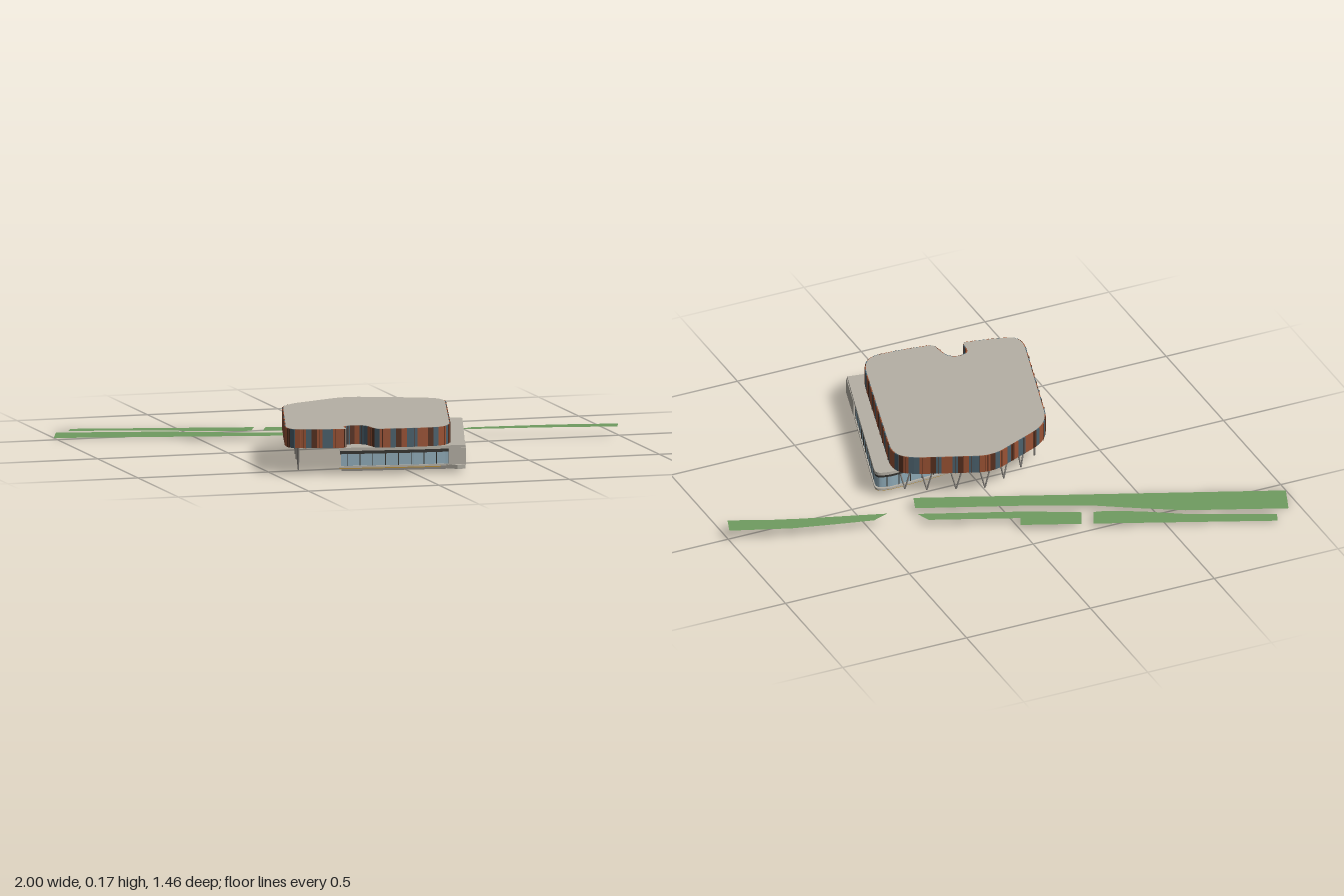
import * as THREE from 'three';
import { mergeGeometries } from 'three/addons/utils/BufferGeometryUtils.js';

const mat = (name, color, side = THREE.FrontSide) =>
  new THREE.MeshStandardMaterial({ name, color, side });

const M = {
  concrete: mat('pale concrete', 0xb5b0a5),
  rust: mat('rust panel', 0x9a5234),
  brown: mat('dark brown panel', 0x57301f),
  slate: mat('slate blue panel', 0x4b616d),
  glass: mat('window glass', 0x8fabb8),
  frame: mat('dark frame', 0x34332f),
  grass: mat('grass', 0x6f9c60, THREE.DoubleSide),
  floor: mat('ochre floor', 0xb58c36),
  soffit: mat('brown soffit', 0x9c7c62),
  steel: mat('grey steel', 0x8a8680),
};

function mesh(name, geometry, material) {
  const m = new THREE.Mesh(geometry, material);
  m.name = name;
  return m;
}

// Closed plan outline from [x, z, cornerRadius] points
function outline(points) {
  const shape = new THREE.Shape();
  const n = points.length;
  const toward = (a, b, d) => {
    const len = Math.hypot(b[0] - a[0], b[1] - a[1]);
    const t = Math.min(d / len, 0.5);
    return [a[0] + (b[0] - a[0]) * t, a[1] + (b[1] - a[1]) * t];
  };
  points.forEach((p, i) => {
    const r = p[2] || 0;
    const a = toward(p, points[(i + n - 1) % n], r);
    const b = toward(p, points[(i + 1) % n], r);
    if (i === 0) shape.moveTo(...a);
    else shape.lineTo(...a);
    if (r) shape.quadraticCurveTo(p[0], p[1], ...b);
  });
  shape.closePath();
  return shape;
}

// Horizontal slab with the given plan between two heights
function slab(shape, y0, y1) {
  return new THREE.ExtrudeGeometry(shape, { depth: y1 - y0, bevelEnabled: false, curveSegments: 8 })
    .rotateX(Math.PI / 2).translate(0, y1, 0);
}

// Upright box standing on the plan line from a to b
function uprightBox(a, b, y0, y1, thickness, width) {
  const dx = b.x - a.x, dz = b.y - a.y;
  return new THREE.BoxGeometry(width ?? Math.hypot(dx, dz), y1 - y0, thickness)
    .rotateY(-Math.atan2(dz, dx))
    .translate((a.x + b.x) / 2, (y0 + y1) / 2, (a.y + b.y) / 2);
}

function rod(a, b, r) {
  const dir = b.clone().sub(a);
  const g = new THREE.CylinderGeometry(r, r, dir.length(), 6);
  g.applyQuaternion(new THREE.Quaternion().setFromUnitVectors(
    new THREE.Vector3(0, 1, 0), dir.clone().normalize()));
  return g.translate((a.x + b.x) / 2, (a.y + b.y) / 2, (a.z + b.z) / 2);
}

// Upper storey with a ring of coloured vertical panels
function upperStorey() {
  const g = new THREE.Group();
  g.name = 'upperStorey';
  const plan = outline([
    [-0.01, -0.122, 0.06], [0.295, 0, 0.08], [0.31, 0.07, 0.03],
    [0.135, 0.70, 0.1], [0.0, 0.697, 0.05], [-0.14, 0.678, 0.015],
    [-0.155, 0.567, 0.05], [-0.24, 0.567, 0.05], [-0.245, 0.648, 0.015],
    [-0.37, 0.622, 0.04], [-0.46, 0.592, 0.085], [-0.29, 0.0, 0.085],
  ]);
  g.add(mesh('roof', slab(plan, 0.104, 0.17), M.concrete));
  g.add(mesh('soffit', slab(plan, 0.1, 0.104), M.soffit));

  const pattern = ['rust', 'slate', 'brown', 'rust', 'rust', 'slate', 'slate', 'rust', 'brown', 'slate', 'rust'];
  const sets = { rust: [], slate: [], brown: [] };
  const pts = plan.getSpacedPoints(132);
  for (let i = 0; i < pts.length - 1; i++) {
    if (pts[i].distanceTo(pts[i + 1]) < 1e-4) continue;
    sets[pattern[i % pattern.length]].push(uprightBox(pts[i], pts[i + 1], 0.1, 0.169, 0.007));
  }
  for (const key in sets) g.add(mesh(key + 'Panels', mergeGeometries(sets[key]), M[key]));

  // Thin fins at some panel joints
  const fins = pts.slice(0, -1).filter((p, i) => i % 3 === 0)
    .map((p) => uprightBox(p, pts[(pts.indexOf(p) + 1) % pts.length], 0.1, 0.169, 0.011, 0.002));
  g.add(mesh('facadeFins', mergeGeometries(fins), M.brown));
  return g;
}

// Glazed lower storey, tapering towards the back
function lowerStorey() {
  const g = new THREE.Group();
  g.name = 'lowerStorey';
  const corners = [
    [0.33, 0.033, 0.01], [0.385, 0.045, 0.03], [0.19, 0.712], [0.12, 0.70],
    [0, 0.69], [-0.275, 0.648], [-0.2, 0.55], [0.05, 0.12], [0.1, 0.045, 0.02],
  ];
  const cx = 0.1, cz = 0.4;
  const scaled = (s) => outline(corners.map(([x, z, r]) => [cx + (x - cx) * s, cz + (z - cz) * s, r]));
  const full = scaled(1), wall = scaled(0.975);
  g.add(mesh('terraceRoof', slab(full, 0.088, 0.1), M.concrete));
  g.add(mesh('fascia', slab(scaled(0.985), 0.076, 0.088), M.frame));
  g.add(mesh('windowWall', slab(wall, 0.032, 0.076), M.glass));
  g.add(mesh('floorEdge', slab(full, 0.025, 0.032), M.concrete));
  g.add(mesh('floorUnderside', slab(scaled(0.99), 0.021, 0.025), M.floor));

  const pts = wall.getSpacedPoints(44);
  const bars = [];
  for (let i = 0; i < pts.length - 1; i++) {
    if (pts[i].distanceTo(pts[i + 1]) > 1e-4) bars.push(uprightBox(pts[i], pts[i + 1], 0.032, 0.076, 0.004, 0.003));
  }
  g.add(mesh('windowBars', mergeGeometries(bars), M.frame));

  // Solid corner block and its step
  g.add(mesh('cornerBlock', slab(outline([[0.239, 0.55], [0.192, 0.716], [0.13, 0.705], [0.14, 0.58]]), 0.028, 0.09), M.concrete));
  g.add(mesh('cornerStep', slab(outline([[0.2, 0.66], [0.185, 0.73], [0.155, 0.728], [0.11, 0.69], [0.13, 0.64]]), 0.015, 0.03), M.concrete));

  // Front plinth and blue entrance floors on the underside
  g.add(mesh('frontPlinth', slab(outline([[-0.265, 0.645], [0.12, 0.698], [0.12, 0.675], [-0.25, 0.62]]), 0.013, 0.025), M.steel));
  g.add(mesh('entranceFloor', slab(outline([[0.19, 0.7], [0.09, 0.67], [0.11, 0.59], [0.215, 0.61]]), 0.017, 0.021), M.slate));
  g.add(mesh('entranceFloor', slab(outline([[-0.24, 0.62], [-0.1, 0.645], [-0.08, 0.56], [-0.19, 0.55]]), 0.017, 0.021), M.slate));

  // Short footings
  const feet = [[0.22, 0.54], [0.29, 0.29], [-0.15, 0.54], [0.1, 0.42], [0.34, 0.1]].map(([x, z]) =>
    new THREE.CylinderGeometry(0.006, 0.006, 0.014, 8).translate(x, 0.015, z));
  g.add(mesh('footings', mergeGeometries(feet), M.steel));
  return g;
}

// V-shaped columns under the overhang
function columns() {
  const spots = [
    [-0.4, 0.55], [-0.365, 0.43], [-0.33, 0.3], [-0.295, 0.17], [-0.26, 0.05], [-0.18, -0.005],
    [-0.09, -0.05], [0, -0.08], [0.1, -0.045], [0.2, -0.005], [0.27, 0.035],
  ];
  const rods = [];
  spots.forEach(([x, z], i) => {
    const p = spots[Math.max(i - 1, 0)], q = spots[Math.min(i + 1, spots.length - 1)];
    const t = new THREE.Vector3(q[0] - p[0], 0, q[1] - p[1]).setLength(0.024);
    for (const s of [-1, 1]) {
      rods.push(rod(new THREE.Vector3(x, 0.012, z), new THREE.Vector3(x + s * t.x, 0.101, z + s * t.z), 0.003));
    }
  });
  return mesh('columns', mergeGeometries(rods), M.steel);
}

// Gently sloping grass strips along the road
function lawns() {
  const g = new THREE.Group();
  g.name = 'lawns';
  const strips = [
    [[-0.88, -0.73], [-0.25, -0.485], [-0.285, -0.41], [-0.33, -0.42], [-0.45, -0.475], [-0.6, -0.56], [-0.9, -0.685]],
    [[-0.21, -0.47], [0, -0.39], [-0.02, -0.345], [0.295, -0.225], [0.315, -0.17], [-0.06, -0.31], [-0.245, -0.395]],
    [[-0.955, -0.665], [-0.6, -0.53], [-0.45, -0.45], [-0.3, -0.365], [-0.1, -0.28], [0.305, -0.13], [0.28, -0.06], [-1, -0.545]],
    [[0.415, -0.125], [0.48, -0.15], [0.6, -0.125], [0.78, -0.085], [1, -0.01], [0.975, 0.06], [0.84, 0.005], [0.72, -0.035]],
  ];
  for (const s of strips) {
    const geo = new THREE.ShapeGeometry(outline(s.map(([x, z]) => [x, -z]))).rotateX(-Math.PI / 2);
    const pos = geo.attributes.position;
    for (let i = 0; i < pos.count; i++) pos.setY(i, 0.021 + 0.021 * pos.getX(i));
    geo.computeVertexNormals();
    g.add(mesh('lawnStrip', geo, M.grass));
  }
  return g;
}

export function createModel() {
  const model = new THREE.Group();
  model.name = 'pavilion';
  model.add(upperStorey(), lowerStorey(), columns(), lawns());
  return model;
}
